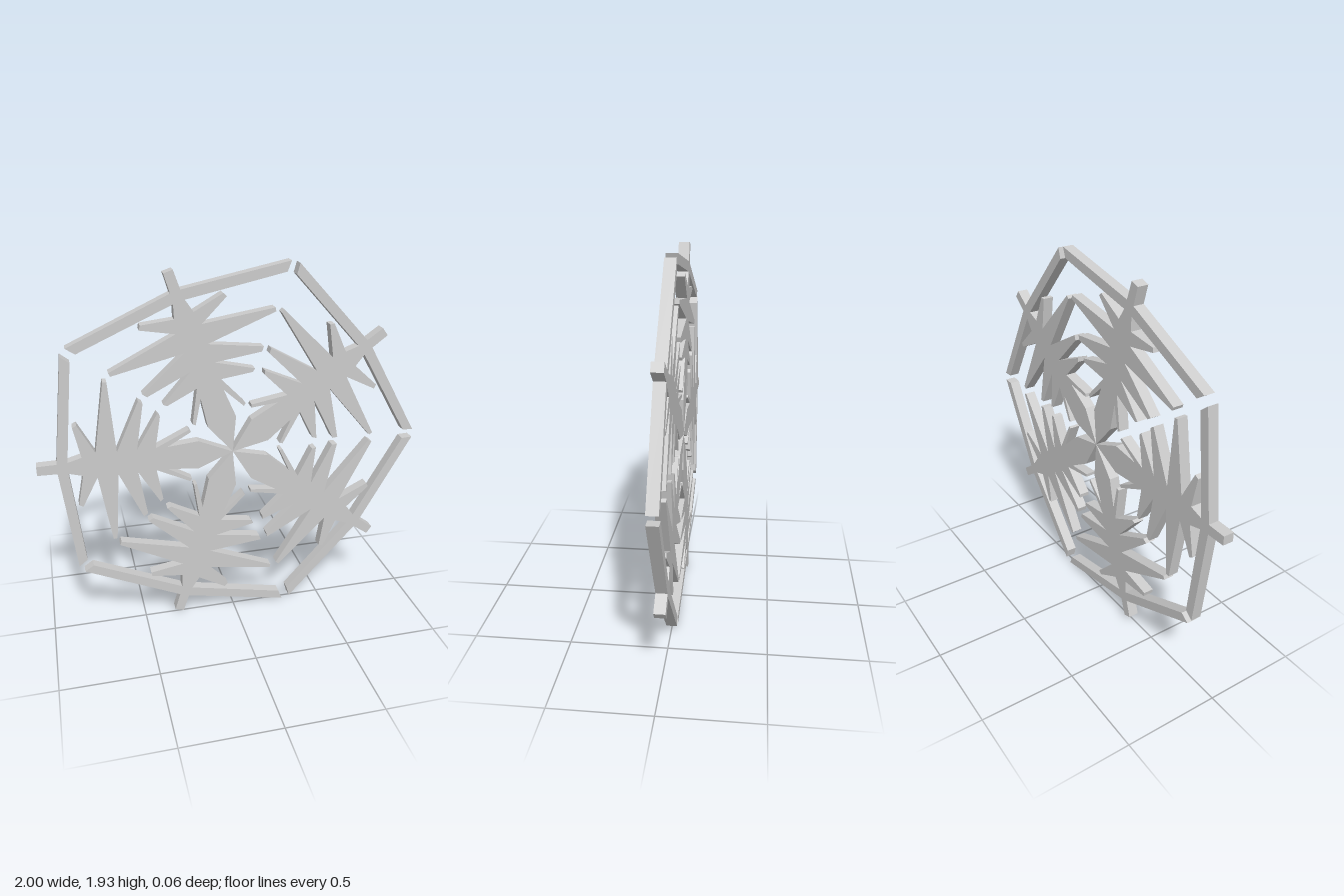
import * as THREE from 'three';

const ARMS = 5;
const DEPTH = 0.056;
const CENTER = new THREE.Vector2(-0.008, 0.967);

// Half outline of one arm: [distance from hub, offset from arm axis]
const HALF = [
  // leaf-shaped root of the stem
  [0.18, 0.077], [0.34, 0.062],
  // five pairs of spikes, from the hub outwards: inner corner, outer corner, valley
  [0.217, 0.132], [0.228, 0.145], [0.4, 0.062],
  [0.372, 0.23], [0.386, 0.246], [0.494, 0.064],
  [0.455, 0.305], [0.477, 0.322], [0.595, 0.062],
  [0.622, 0.432], [0.642, 0.434], [0.7, 0.068],
  [0.782, 0.224], [0.803, 0.212], [0.77, 0.05],
  // rim bar and the tip of the stem
  [0.84, 0.03], [0.786, 0.54], [0.83, 0.575], [0.893, 0.026], [0.992, 0.024],
];

function armGeometry() {
  const upper = HALF.map(([r, t]) => new THREE.Vector2(r, t));
  const lower = HALF.map(([r, t]) => new THREE.Vector2(r, -t)).reverse();
  const shape = new THREE.Shape([new THREE.Vector2(0, 0), ...lower.reverse(), ...upper.reverse()]);
  const geometry = new THREE.ExtrudeGeometry(shape, { depth: DEPTH, bevelEnabled: false });
  return geometry.translate(0, 0, -DEPTH / 2);
}

export function createModel() {
  const model = new THREE.Group();
  model.name = 'snowflake';
  const material = new THREE.MeshStandardMaterial({ color: 0xcccccc, flatShading: true });
  const geometry = armGeometry();

  // identical arms turned around the hub, the first pointing to -x
  for (let i = 0; i < ARMS; i++) {
    const arm = new THREE.Mesh(geometry, material);
    arm.name = `arm${i + 1}`;
    arm.position.set(CENTER.x, CENTER.y, 0);
    arm.rotation.z = Math.PI + (i * 2 * Math.PI) / ARMS;
    model.add(arm);
  }
  return model;
}
